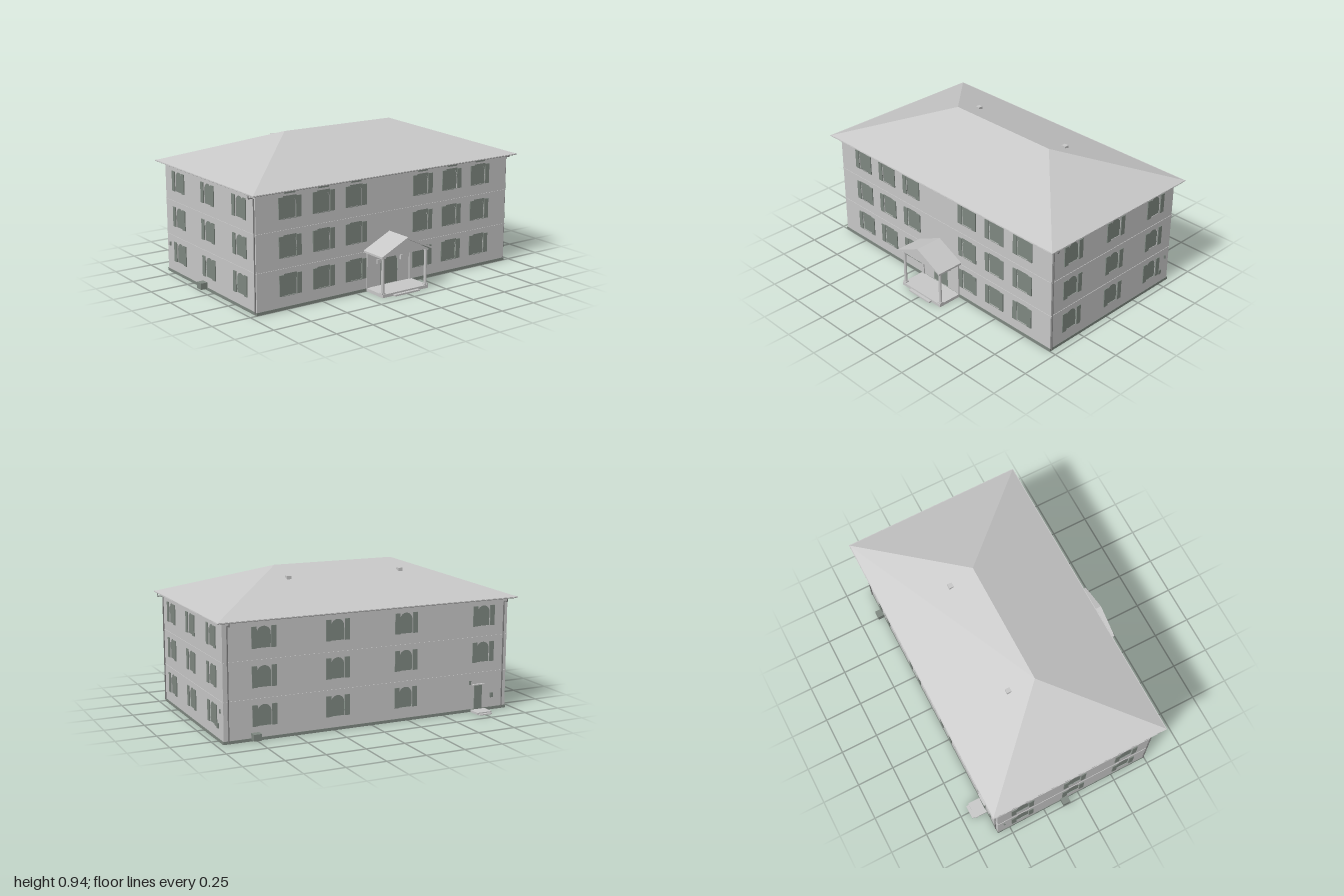
import * as THREE from 'three';

const mat = (name, color, double) => {
  const m = new THREE.MeshStandardMaterial({ color });
  m.name = name;
  if (double) m.side = THREE.DoubleSide;
  return m;
};

export function createModel() {
  const wallMat = mat('wall', 0xc7c7c7, true);
  const roofMat = mat('roof', 0xc7c7c7);
  const greenMat = mat('green grey', 0x7e8780, true);
  const darkMat = mat('dark trim', 0x808080);

  const W = 1.908, D = 1.082, H = 0.715, CZ = -0.043;
  const FRONT = CZ + D / 2, BACK = CZ - D / 2;
  const model = new THREE.Group();
  model.name = 'building';

  const add = (parent, name, geo, material, x = 0, y = 0, z = 0) => {
    const mesh = new THREE.Mesh(geo, material);
    mesh.name = name;
    mesh.position.set(x, y, z);
    parent.add(mesh);
    return mesh;
  };
  const box = (parent, name, material, w, h, d, x, y, z) =>
    add(parent, name, new THREE.BoxGeometry(w, h, d), material, x, y, z);

  // Round-headed opening, used for windows and the front door
  const arch = (PathType, x, y, w, h) => {
    const p = new PathType(), r = w / 2;
    p.moveTo(x - r, y);
    p.lineTo(x + r, y);
    p.lineTo(x + r, y + h - r);
    p.absarc(x, y + h - r, r, 0, Math.PI, false);
    p.lineTo(x - r, y);
    return p;
  };
  const rect = (x0, y0, x1, y1) =>
    new THREE.Shape([[x0, y0], [x1, y0], [x1, y1], [x0, y1]].map((a) => new THREE.Vector2(...a)));

  // One facade: wall with real openings, recessed panes, shutters, bands and plinth
  const floors = [0.086, 0.317, 0.548];
  const facade = (name, width, offset, angle, windows, isFront) => {
    const pivot = new THREE.Group();
    pivot.name = name;
    pivot.position.z = CZ;
    pivot.rotation.y = angle;
    model.add(pivot);
    const g = new THREE.Group();
    g.name = name + 'Face';
    g.position.z = offset;
    pivot.add(g);

    const shape = rect(-width / 2, 0, width / 2, H);
    const opening = (label, x, y, w, h) => {
      shape.holes.push(arch(THREE.Path, x, y, w, h));
      add(g, label, new THREE.ShapeGeometry(arch(THREE.Shape, x, y, w, h), 8), greenMat, 0, 0, -0.003);
    };
    for (const [x, y] of windows) {
      opening('windowPane', x, y, 0.088, 0.128);
      for (const s of [-1, 1])
        box(g, 'shutter', greenMat, 0.032, 0.128, 0.006, x + s * 0.061, y + 0.064, 0.005);
      if (isFront) {
        // Front windows have a square green surround round the arch
        const surround = rect(x - 0.045, y - 0.003, x + 0.045, y + 0.134);
        surround.holes.push(arch(THREE.Path, x, y, 0.086, 0.126));
        add(g, 'windowSurround', new THREE.ShapeGeometry(surround, 8), greenMat, 0, 0, 0.004);
        if (y === floors[2]) box(g, 'lintel', greenMat, 0.075, 0.014, 0.005, x, 0.702, 0.004);
      }
    }
    if (isFront) opening('frontDoor', 0, 0.02, 0.13, 0.195);
    add(g, 'wall', new THREE.ShapeGeometry(shape, 8), wallMat);

    for (const y of [0.25, 0.48]) box(g, 'floorBand', wallMat, width, 0.003, 0.003, 0, y, 0.0025);
    box(g, 'plinth', greenMat, width + 0.008, 0.018, 0.003, 0, 0.009, 0.0025);
    return g;
  };
  const grid = (columns) => columns.flatMap((x) => floors.map((y) => [x, y]));

  facade('frontWall', W, D / 2, 0, grid([-0.725, -0.49, -0.255, 0.255, 0.49, 0.725]), true);
  const sideColumns = grid([-0.367, 0, 0.367]);
  const leftWall = facade('leftWall', D, W / 2, Math.PI / 2, sideColumns);
  const rightWall = facade('rightWall', D, W / 2, -Math.PI / 2, sideColumns);
  const backWindows = [...grid([-0.7, -0.23, 0.23]), [0.78, floors[1]], [0.78, floors[2]]];
  const backWall = facade('backWall', W, D / 2, Math.PI, backWindows);

  // Back door with canopy and steps
  box(backWall, 'backDoor', greenMat, 0.055, 0.15, 0.006, 0.75, 0.093, 0.004);
  box(backWall, 'doorCanopy', wallMat, 0.085, 0.006, 0.015, 0.75, 0.175, 0.0085);
  box(backWall, 'backLanding', wallMat, 0.105, 0.014, 0.086, 0.75, 0.007, 0.044);
  box(backWall, 'backStep', wallMat, 0.09, 0.007, 0.105, 0.75, 0.0035, 0.0535);

  // Service boxes and meters
  box(backWall, 'serviceUnit', greenMat, 0.05, 0.04, 0.045, -0.76, 0.03, 0.0235);
  box(rightWall, 'serviceUnit', greenMat, 0.05, 0.04, 0.045, -0.06, 0.03, 0.0235);
  box(leftWall, 'meterBox', greenMat, 0.02, 0.03, 0.008, 0.457, 0.095, 0.005);
  box(leftWall, 'smallMeter', greenMat, 0.01, 0.024, 0.008, 0.498, 0.19, 0.005);
  box(rightWall, 'smallMeter', greenMat, 0.01, 0.024, 0.008, -0.498, 0.19, 0.005);
  box(backWall, 'meterBox', greenMat, 0.02, 0.03, 0.008, 0.85, 0.095, 0.005);
  box(backWall, 'smallMeter', greenMat, 0.012, 0.024, 0.008, 0.69, 0.19, 0.005);

  // Hipped roof: a box whose top corners are drawn in to a ridge
  const roofGeo = new THREE.BoxGeometry(2, 0.213, 1.186).toNonIndexed();
  const p = roofGeo.attributes.position;
  for (let i = 0; i < p.count; i++) {
    if (p.getY(i) > 0) p.setXYZ(i, Math.sign(p.getX(i)) * 0.405, p.getY(i), 0);
  }
  roofGeo.computeVertexNormals();
  add(model, 'hippedRoof', roofGeo, roofMat, 0, 0.8285, -0.042);
  box(model, 'eavesSoffit', darkMat, 1.984, 0.008, 1.17, 0, 0.718, -0.042);
  box(model, 'ceiling', wallMat, W - 0.01, 0.004, D - 0.01, 0, 0.711, CZ);
  for (const s of [-1, 1]) {
    box(model, 'frontBackGutter', roofMat, 1.998, 0.006, 0.012, 0, 0.721, -0.042 + s * 0.586);
    box(model, 'sideGutter', roofMat, 0.012, 0.006, 1.184, s * 0.993, 0.721, -0.042);
    box(model, 'roofVent', roofMat, 0.03, 0.03, 0.03, s * 0.383, 0.875, -0.21);
  }

  // Downpipes at the four corners, each with an offset from the gutter
  const pipe = (points) => {
    const path = new THREE.CurvePath();
    const v = points.map((a) => new THREE.Vector3(...a));
    for (let i = 1; i < v.length; i++) path.add(new THREE.LineCurve3(v[i - 1], v[i]));
    add(model, 'downpipe', new THREE.TubeGeometry(path, 36, 0.004, 6), darkMat);
  };
  for (const s of [-1, 1]) {
    const px = s * (W / 2 + 0.005), pz = BACK - 0.005;
    pipe([[s * 0.993, 0.718, 0.489], [s * 0.993, 0.697, 0.489], [px, 0.697, 0.489], [px, 0.01, 0.489]]);
    pipe([[s * 0.925, 0.718, -0.626], [s * 0.925, 0.697, -0.626], [s * 0.925, 0.697, pz], [s * 0.925, 0.01, pz]]);
  }

  // Entrance porch
  const porch = new THREE.Group();
  porch.name = 'porch';
  model.add(porch);
  box(porch, 'porchFloor', wallMat, 0.35, 0.02, 0.163, 0, 0.01, 0.584);
  box(porch, 'porchStep', wallMat, 0.19, 0.01, 0.02, 0, 0.005, 0.675);
  const slope = [
    [-0.195, 0.25], [0, 0.343], [0.195, 0.25], [0.195, 0.262], [0, 0.355], [-0.195, 0.262],
  ].map((a) => new THREE.Vector2(...a));
  const porchRoof = new THREE.ExtrudeGeometry(new THREE.Shape(slope), { depth: 0.184, bevelEnabled: false });
  add(porch, 'porchRoof', porchRoof, roofMat, 0, 0, FRONT + 0.001);
  const gable = new THREE.Shape([[-0.18, 0.25], [0.18, 0.25], [0, 0.342]].map((a) => new THREE.Vector2(...a)));
  add(porch, 'gable', new THREE.ExtrudeGeometry(gable, { depth: 0.16, bevelEnabled: false }), wallMat, 0, 0, FRONT + 0.003);
  for (const s of [-1, 1]) {
    add(porch, 'porchColumn', new THREE.CylinderGeometry(0.009, 0.01, 0.23, 12), wallMat, s * 0.164, 0.135, 0.649);
    box(porch, 'columnBase', wallMat, 0.025, 0.008, 0.025, s * 0.164, 0.024, 0.649);
    box(porch, 'columnCapital', wallMat, 0.025, 0.008, 0.025, s * 0.164, 0.246, 0.649);
    box(porch, 'wallPilaster', wallMat, 0.02, 0.23, 0.008, s * 0.164, 0.135, FRONT + 0.005);
    box(porch, 'doorLamp', wallMat, 0.015, 0.027, 0.012, s * 0.09, 0.173, FRONT + 0.007);
  }
  return model;
}
